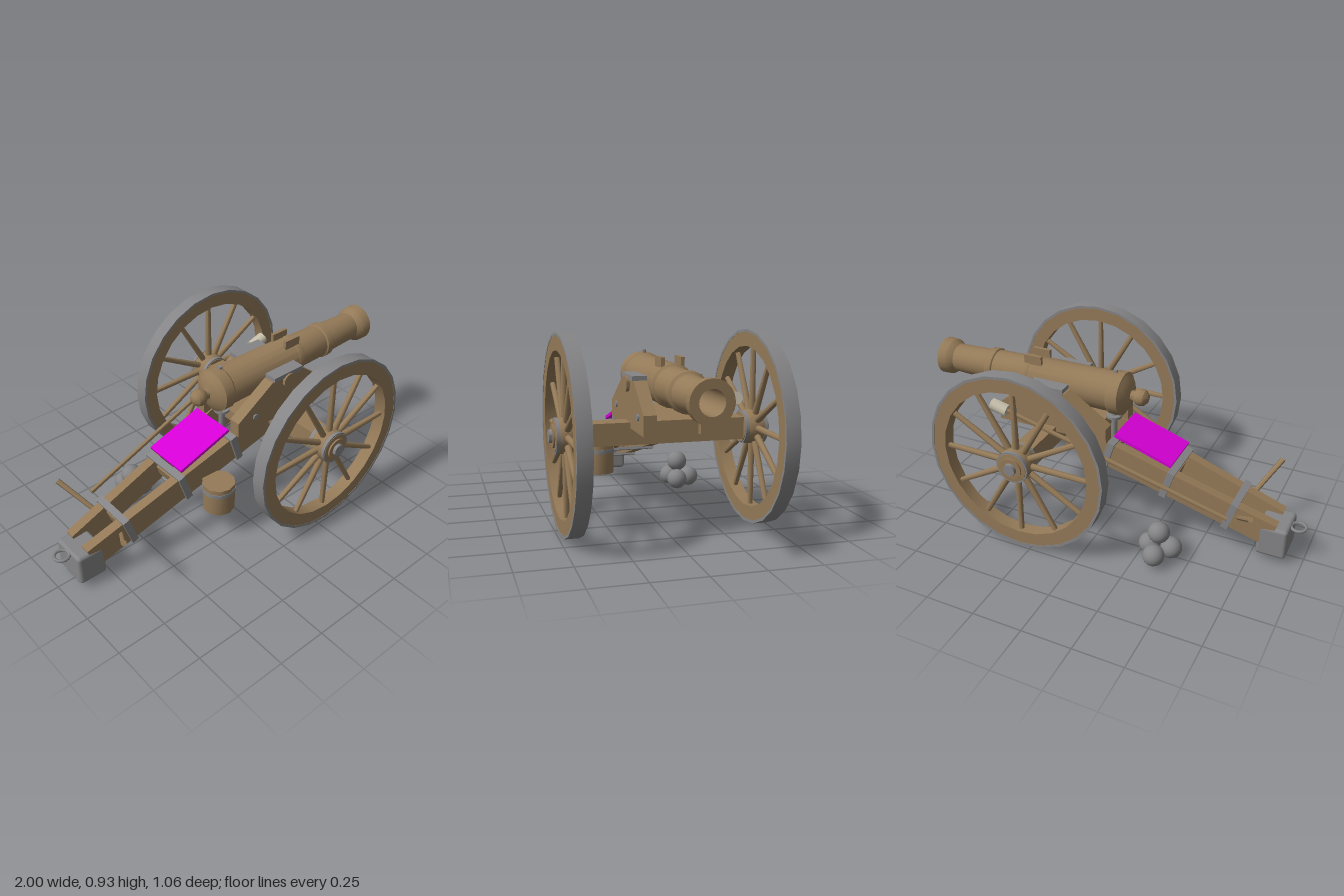
import * as THREE from 'three';
import { toCreasedNormals } from 'three/addons/utils/BufferGeometryUtils.js';
import { RoundedBoxGeometry } from 'three/addons/geometries/RoundedBoxGeometry.js';

const mat = (name, color) => Object.assign(new THREE.MeshStandardMaterial({ color }), { name });

export function createModel() {
  const wood = mat('brown wood', 0x947a58);
  const iron = mat('grey iron', 0x858587);
  const panelPaint = mat('magenta', 0xd800d8);
  const fleece = mat('pale fleece', 0xc6beaa);
  const model = new THREE.Group();

  const add = (parent, name, geo, m, x = 0, y = 0, z = 0) => {
    const mesh = new THREE.Mesh(geo, m);
    mesh.name = name;
    mesh.position.set(x, y, z);
    parent.add(mesh);
    return mesh;
  };
  const box = (parent, name, m, size, pos) => add(parent, name, new THREE.BoxGeometry(...size), m, ...pos);
  // Turned part around y; profile pairs are [radius, height]
  const turned = (profile, sides) => toCreasedNormals(
    new THREE.LatheGeometry(profile.map(p => new THREE.Vector2(...p)), sides), 0.55);
  // Cylinder between two points
  const rod = (parent, name, m, a, b, r0, r1 = r0, sides = 8) => {
    const A = new THREE.Vector3(...a), B = new THREE.Vector3(...b);
    const d = B.clone().sub(A);
    const geo = toCreasedNormals(new THREE.CylinderGeometry(r1, r0, d.length(), sides), 0.9);
    const mesh = add(parent, name, geo, m);
    mesh.position.copy(A).add(B).multiplyScalar(0.5);
    mesh.quaternion.setFromUnitVectors(new THREE.Vector3(0, 1, 0), d.normalize());
    return mesh;
  };

  // Barrel with knob, rings and hollow bore, turned along x
  const barrel = turned([
    [0, -0.165], [0.022, -0.16], [0.038, -0.145], [0.043, -0.125], [0.038, -0.103], [0.026, -0.088],
    [0.026, -0.075], [0.05, -0.068], [0.08, -0.06], [0.098, -0.045], [0.109, -0.04], [0.109, 0.015], [0.101, 0.025],
    [0.097, 0.46], [0.1, 0.465], [0.1, 0.495], [0.089, 0.505], [0.085, 0.675], [0.092, 0.68],
    [0.092, 0.715], [0.08, 0.725], [0.073, 0.92], [0.08, 0.93], [0.093, 0.95], [0.095, 1],
    [0.055, 1], [0.055, 0.7], [0, 0.7]], 20);
  barrel.rotateZ(-Math.PI / 2);
  add(model, 'barrel', barrel, wood, 0, 0.697, 0);
  rod(model, 'trunnions', wood, [0.315, 0.692, -0.175], [0.315, 0.692, 0.175], 0.037, 0.037, 14);
  rod(model, 'vent', iron, [0.01, 0.79, 0], [0.01, 0.818, 0], 0.011);

  // Carriage cheek outline
  const cheek = new THREE.Shape([[-0.01, 0.492], [0.585, 0.492], [0.585, 0.585], [0.42, 0.715], [0.21, 0.715],
    [-0.01, 0.57]].map(p => new THREE.Vector2(...p)));

  // Trail line: slopes down to the rear and narrows
  const tilt = Math.atan(0.314);
  const trailY = x => 0.155 + 0.314 * (x + 0.85);
  const trailZ = x => 0.115 + 0.0575 * x;

  for (const s of [1, -1]) {
    box(model, 'liftingHandle', wood, [0.095, 0.055, 0.018], [0.443, 0.797, s * 0.045]);
    add(model, 'cheek', new THREE.ExtrudeGeometry(cheek, { depth: 0.06, bevelEnabled: false }), wood,
      0, 0, s * 0.13 - 0.03);
    box(model, 'trunnionCap', iron, [0.19, 0.022, 0.068], [0.315, 0.725, s * 0.131]);
    for (const x of [0.1, 0.5]) {
      rod(model, 'cheekBolt', iron, [x, 0.565, s * 0.155], [x, 0.565, s * 0.168], 0.016);
    }

    const beam = new THREE.BoxGeometry(1.1, 0.13, 0.05);
    beam.rotateZ(tilt).translate(-0.325, trailY(-0.325), 0);
    const p = beam.attributes.position;
    for (let i = 0; i < p.count; i++) p.setZ(i, p.getZ(i) + s * trailZ(p.getX(i)));
    beam.computeVertexNormals();
    add(model, 'trailBeam', beam, wood);

    rod(model, 'handspike', wood, [-0.68, 0.215, s * 0.09], [-0.785, 0.362, s * 0.275], 0.012, 0.014);
  }
  box(model, 'carriageBed', wood, [0.5, 0.06, 0.2], [0.3, 0.525, 0]);
  rod(model, 'elevatingScrew', iron, [0.02, 0.46, 0], [0.02, 0.61, 0], 0.016);
  rod(model, 'screwWheel', iron, [0.02, 0.555, 0], [0.02, 0.568, 0], 0.04, 0.04, 12);
  box(model, 'axleBeam', wood, [0.1, 0.105, 0.82], [0.315, 0.467, 0]);

  // Iron straps and cross pieces around the trail
  for (const x of [-0.64, -0.32, -0.01]) {
    const strap = new THREE.Group();
    strap.name = 'trailStrap';
    strap.position.set(x, trailY(x), 0);
    strap.rotation.z = tilt;
    const w = trailZ(x) + 0.037;
    for (const s of [1, -1]) {
      box(strap, 'strapBar', iron, [0.036, 0.014, w * 2], [0, s * 0.069, 0]);
      box(strap, 'strapSide', iron, [0.036, 0.15, 0.014], [0, 0, s * (w - 0.007)]);
    }
    box(strap, 'crossPiece', wood, [0.034, 0.06, trailZ(x) * 2], [0, 0, 0]);
    model.add(strap);
  }

  // Sloping cover panel
  const panel = box(model, 'coverPanel', panelPaint, [0.315, 0.016, 0.24], [-0.187, 0.474, 0]);
  panel.rotation.z = 0.32;

  // Trail shoe and towing ring
  add(model, 'trailShoe', new RoundedBoxGeometry(0.148, 0.165, 0.19, 2, 0.018), iron, -0.851, 0.118, 0);
  const ring = add(model, 'towingRing', new THREE.TorusGeometry(0.036, 0.008, 8, 16), iron, -0.956, 0.183, 0);
  ring.rotation.x = Math.PI / 2;

  // Wheel parts, turned around z
  const rim = (r0, r1, w) => turned([[r0, -w], [r1, -w], [r1, w], [r0, w], [r0, -w]], 24).rotateX(Math.PI / 2);
  const hub = turned([[0, -0.062], [0.072, -0.062], [0.084, -0.03], [0.084, 0.025], [0.075, 0.052],
    [0.055, 0.054], [0.055, 0.062], [0, 0.062]], 16).rotateX(Math.PI / 2);
  for (const s of [1, -1]) {
    const wheel = new THREE.Group();
    wheel.name = s > 0 ? 'leftWheel' : 'rightWheel';
    wheel.position.set(0.315, 0.466, s * 0.453);
    wheel.rotation.y = s > 0 ? 0 : Math.PI;
    add(wheel, 'rim', rim(0.385, 0.453, 0.033), wood);
    add(wheel, 'tyre', rim(0.452, 0.465, 0.0345), iron);
    add(wheel, 'hub', hub, wood);
    add(wheel, 'innerHubBand', rim(0.06, 0.079, 0.009), iron, 0, 0, -0.05);
    add(wheel, 'outerHubBand', rim(0.06, 0.083, 0.008), iron, 0, 0, 0.042);
    rod(wheel, 'axleCap', iron, [0, 0, 0.05], [0, 0, 0.077], 0.034, 0.03, 10);
    for (let i = 0; i < 12; i++) {
      const a = i * Math.PI / 6, c = Math.cos(a), d = Math.sin(a);
      rod(wheel, 'spoke', wood, [c * 0.06, d * 0.06, 0], [c * 0.39, d * 0.39, 0], 0.017, 0.013);
    }
    model.add(wheel);
  }

  // Bucket with a hoop, hanging beside the trail
  rod(model, 'bucket', wood, [-0.168, 0.17, 0.197], [-0.168, 0.324, 0.197], 0.081, 0.083, 10);
  rod(model, 'bucketHoop', iron, [-0.168, 0.278, 0.197], [-0.168, 0.299, 0.197], 0.085, 0.085, 10);

  // Sponge rammer along the right side
  rod(model, 'rammerShaft', wood, [-0.655, 0.27, -0.195], [0.48, 0.625, -0.273], 0.011);
  rod(model, 'rammerHead', fleece, [0.468, 0.62, -0.272], [0.552, 0.642, -0.277], 0.031, 0.031, 10);

  // Stack of shot
  for (const pos of [[-0.355, 0.068, -0.357], [-0.41, 0.068, -0.265], [-0.3, 0.068, -0.275], [-0.353, 0.158, -0.29]]) {
    add(model, 'shot', new THREE.IcosahedronGeometry(0.054, 2), iron, ...pos);
  }
  return model;
}
